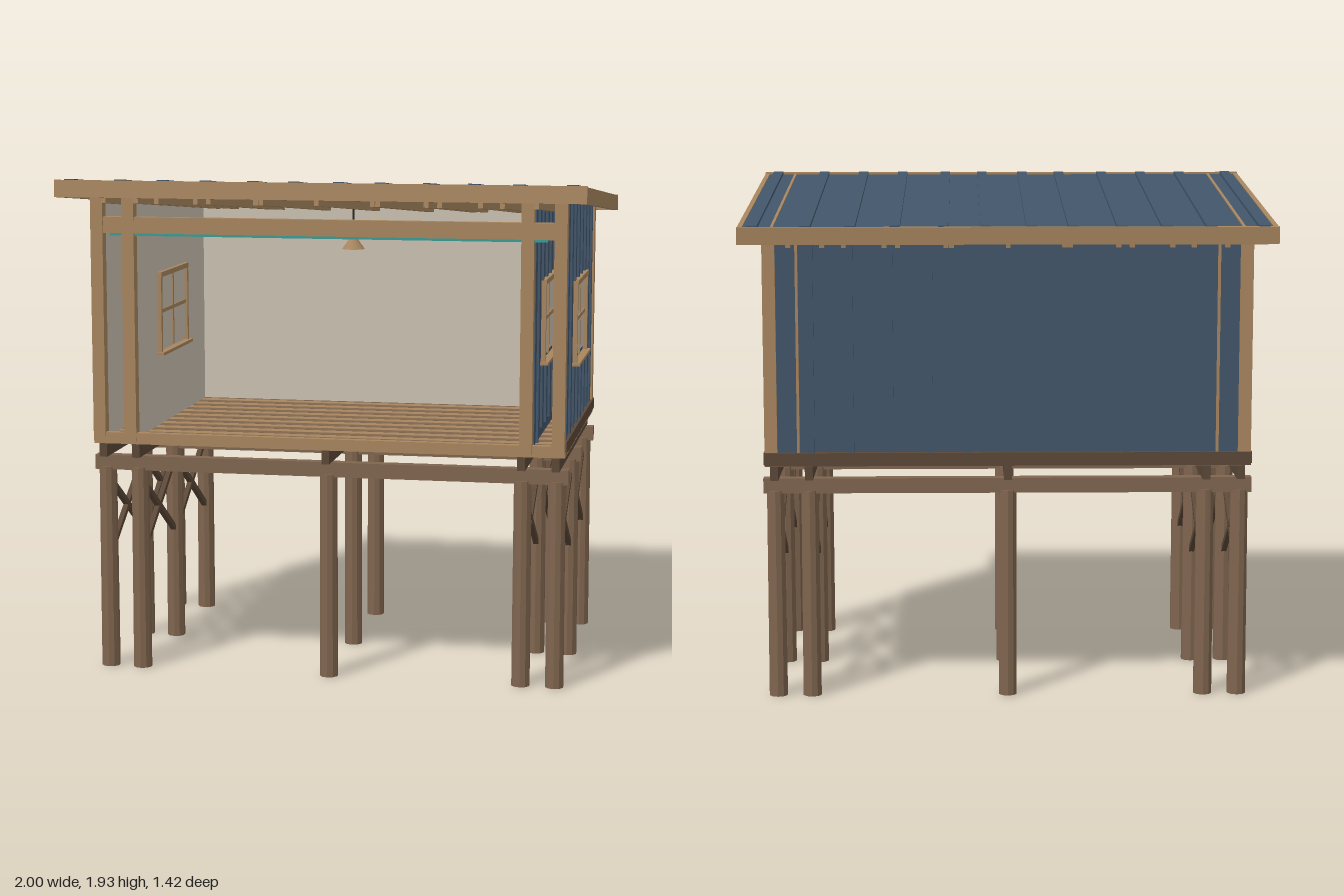
import * as THREE from 'three';

const mat = (name, color, side = THREE.FrontSide) => {
  const m = new THREE.MeshStandardMaterial({ color, side });
  m.name = name;
  return m;
};

export function createModel() {
  const M = {
    blue: mat('blue cladding', 0x42566a),
    tan: mat('tan timber', 0xa8865f),
    brown: mat('brown timber', 0x80654f),
    dark: mat('dark timber', 0x5c4838),
    cream: mat('cream lining', 0xcbc1b2),
    black: mat('black cord', 0x2a2826),
    teal: mat('teal strip', 0x3a9c96),
  };
  const root = new THREE.Group();
  root.name = 'stiltCabin';

  const add = (parent, name, geometry, material, x = 0, y = 0, z = 0) => {
    const m = new THREE.Mesh(geometry, material);
    m.name = name;
    m.position.set(x, y, z);
    parent.add(m);
    return m;
  };
  // Box given by its minimum and maximum on each axis
  const box = (parent, name, material, x0, x1, y0, y1, z0, z1) =>
    add(parent, name, new THREE.BoxGeometry(x1 - x0, y1 - y0, z1 - z0), material,
      (x0 + x1) / 2, (y0 + y1) / 2, (z0 + z1) / 2);

  const SLOPE = 0.088;
  const roofTop = z => 1.868 + SLOPE * z;
  const under = z => roofTop(z) - 0.05;
  const pileX = [-0.88, -0.75, 0, 0.75, 0.88];
  const pileZ = [0.46, -0.05, -0.56];

  // Stilts, girders and joists
  const stilts = new THREE.Group();
  stilts.name = 'stilts';
  root.add(stilts);
  const pileGeo = new THREE.CylinderGeometry(0.034, 0.036, 0.8, 10).toNonIndexed();
  pileGeo.computeVertexNormals();
  for (const z of pileZ) {
    for (const x of pileX) add(stilts, 'pile', pileGeo, M.brown, x, 0.4, z);
    box(stilts, 'girder', M.brown, -0.925, 0.925, 0.79, 0.847, z - 0.022, z + 0.022);
  }
  for (const x of pileX) box(stilts, 'joist', M.dark, x - 0.015, x + 0.015, 0.847, 0.9, -0.625, 0.525);

  // Crossed braces between the end piles
  for (const x of [-0.88, -0.75, 0.75, 0.88]) {
    for (const [za, zb] of [[0.45, -0.04], [-0.06, -0.55]]) {
      for (const dir of [1, -1]) {
        const dz = za - zb, dy = 0.3;
        const rod = add(stilts, 'crossBrace', new THREE.BoxGeometry(0.02, 0.022, Math.hypot(dz, dy)),
          M.dark, x, 0.6, (za + zb) / 2);
        rod.rotation.x = dir * Math.atan2(dy, dz);
      }
    }
  }

  // Floor planks
  const floor = new THREE.Group();
  floor.name = 'floor';
  root.add(floor);
  const planks = 22, step = 1.15 / planks;
  for (let i = 0; i < planks; i++) {
    const z = -0.625 + i * step;
    box(floor, 'floorPlank', i % 2 ? M.tan : M.brown, -0.915, 0.915, 0.9, 0.916, z + 0.002, z + step - 0.002);
  }
  box(floor, 'frontSill', M.tan, -0.87, 0.87, 0.912, 0.945, 0.5, 0.53);
  box(floor, 'backSkirt', M.dark, -0.915, 0.915, 0.905, 0.955, -0.645, -0.62);

  // Back wall: cladding outside, lining inside
  const walls = new THREE.Group();
  walls.name = 'walls';
  root.add(walls);
  const backTop = under(-0.62);
  box(walls, 'backCladding', M.blue, -0.89, 0.89, 0.91, backTop, -0.622, -0.6);
  box(walls, 'backLining', M.cream, -0.89, 0.89, 0.916, backTop, -0.6, -0.592);
  for (let i = -5; i <= 5; i++) {
    const x = i * 0.148;
    box(walls, 'backBatten', M.blue, x - 0.014, x + 0.014, 0.955, backTop, -0.634, -0.622);
  }

  // Sloping-topped slab in the zy plane, from x outward
  const slab = (name, material, x, thick, z0, z1) => {
    const s = new THREE.Shape([
      new THREE.Vector2(-z0, 0.912), new THREE.Vector2(-z1, 0.912),
      new THREE.Vector2(-z1, under(z1)), new THREE.Vector2(-z0, under(z0))]);
    const g = new THREE.ExtrudeGeometry(s, { depth: thick, bevelEnabled: false });
    g.rotateY(Math.PI / 2);
    return add(walls, name, g, material, x, 0, 0);
  };

  // Window centred on z, facing along dir at plane x
  const windowSet = (x, dir, out) => {
    const w = new THREE.Group();
    w.name = 'window';
    root.add(w);
    const bar = (name, m, depth, y0, y1, z0, z1) =>
      box(w, name, m, Math.min(x, x + dir * depth), Math.max(x, x + dir * depth), y0, y1, z0, z1);
    bar('windowPane', M.cream, 0.004, 1.23, 1.515, -0.25, 0.14);
    bar('paneBarUpright', M.tan, 0.009, 1.22, 1.515, -0.063, -0.047);
    bar('paneBarAcross', M.tan, 0.009, 1.365, 1.38, -0.25, 0.14);
    bar('frameFront', M.tan, out, 1.21, 1.53, 0.138, 0.156);
    bar('frameBack', M.tan, out, 1.21, 1.53, -0.268, -0.25);
    bar('frameHead', M.tan, out + 0.002, 1.512, 1.532, -0.268, 0.156);
    bar('windowSill', M.tan, out + 0.013, 1.2, 1.212, -0.285, 0.172);
  };

  // Side walls: an outer and an inner pair, each with posts and windows
  for (const s of [-1, 1]) {
    for (const px of [0.89, 0.767]) {
      const outer = px > 0.8;
      const c = s * px, face = c + s * 0.012;
      slab('sideCladding', M.blue, s > 0 ? face - 0.014 : face, 0.014, -0.6, 0.5);
      slab('sideLining', M.cream, s > 0 ? face - 0.022 : face + 0.014, 0.008, -0.6, 0.495);
      for (let i = 0; i < 8; i++) {
        const z = 0.42 - i * 0.135;
        if (z > 0.18 || z < -0.3) slab('sideBatten', M.blue, s > 0 ? face : face - 0.009, 0.009, z - 0.013, z + 0.013);
        else {
          const a = s > 0 ? face : face - 0.009;
          box(walls, 'battenBelow', M.blue, a, a + 0.009, 0.955, 1.2, z - 0.013, z + 0.013);
          box(walls, 'battenAbove', M.blue, a, a + 0.009, 1.53, under(z), z - 0.013, z + 0.013);
        }
      }
      windowSet(face, s, 0.018);
      if (!outer) windowSet(face - s * 0.022, -s, 0.016);
      box(walls, 'frontPost', M.tan, c - 0.024, c + 0.024, 0.912, under(0.5), 0.49, 0.535);
      if (outer) box(walls, 'backPost', M.tan, c - 0.024, c + 0.024, 0.912, under(-0.62), -0.637, -0.59);
      else box(walls, 'backTrim', M.tan, c + s * 0.02 - 0.005, c + s * 0.02 + 0.005, 0.955, backTop, -0.636, -0.62);
    }
    const skirtX = s * 0.908;
    box(floor, 'sideSkirt', M.dark, skirtX - 0.01, skirtX + 0.01, 0.912, 0.955, -0.645, 0.488);
  }

  // Front beam with a coloured strip beneath
  box(walls, 'frontBeam', M.tan, -0.865, 0.865, 1.718, 1.78, 0.495, 0.531);
  box(walls, 'beamStrip', M.teal, -0.84, 0.84, 1.708, 1.718, 0.505, 0.52);

  // Sloping roof
  const roof = new THREE.Group();
  roof.name = 'roof';
  roof.position.y = 1.868;
  roof.rotation.x = -Math.atan(SLOPE);
  root.add(roof);
  const half = 0.708;
  box(roof, 'roofPanel', M.blue, -0.99, 0.99, -0.045, -0.008, -half + 0.01, half - 0.01);
  for (const s of [-1, 1]) {
    box(roof, 'sideFascia', M.tan, s * 0.991 - 0.009, s * 0.991 + 0.009, -0.065, -0.004, -half, half);
    box(roof, 'endFascia', M.tan, -1, 1, -0.065, 0, s * (half - 0.007) - 0.007, s * (half - 0.007) + 0.007);
    box(roof, 'roofTrim', M.tan, s * 0.873 - 0.005, s * 0.873 + 0.005, -0.01, -0.003, -half, half);
    for (const x of [0.085, 0.24, 0.42, 0.585, 0.75, 0.945])
      box(roof, 'roofSeam', M.blue, s * x - 0.02, s * x + 0.02, -0.01, 0.004, -half + 0.012, half - 0.012);
  }
  for (const x of [0, 0.21, 0.23, 0.41, 0.46, 0.61, 0.69, 0.815])
    for (const s of x ? [-1, 1] : [1])
      box(roof, 'rafter', M.tan, s * x - 0.009, s * x + 0.009, -0.085, -0.045, -0.66, 0.68);

  // Hanging lamp
  const lamp = new THREE.Group();
  lamp.name = 'lamp';
  lamp.position.set(0, 0, -0.05);
  root.add(lamp);
  add(lamp, 'lampCord', new THREE.CylinderGeometry(0.004, 0.004, 0.15, 6), M.black, 0, 1.74, 0);
  const shadeMat = mat('lamp shade tan', 0xa8865f, THREE.DoubleSide);
  add(lamp, 'lampShade', new THREE.CylinderGeometry(0.01, 0.046, 0.05, 12, 1, true), shadeMat, 0, 1.645, 0);
  add(lamp, 'lampBulb', new THREE.SphereGeometry(0.014, 10, 8), M.cream, 0, 1.635, 0);
  return root;
}
